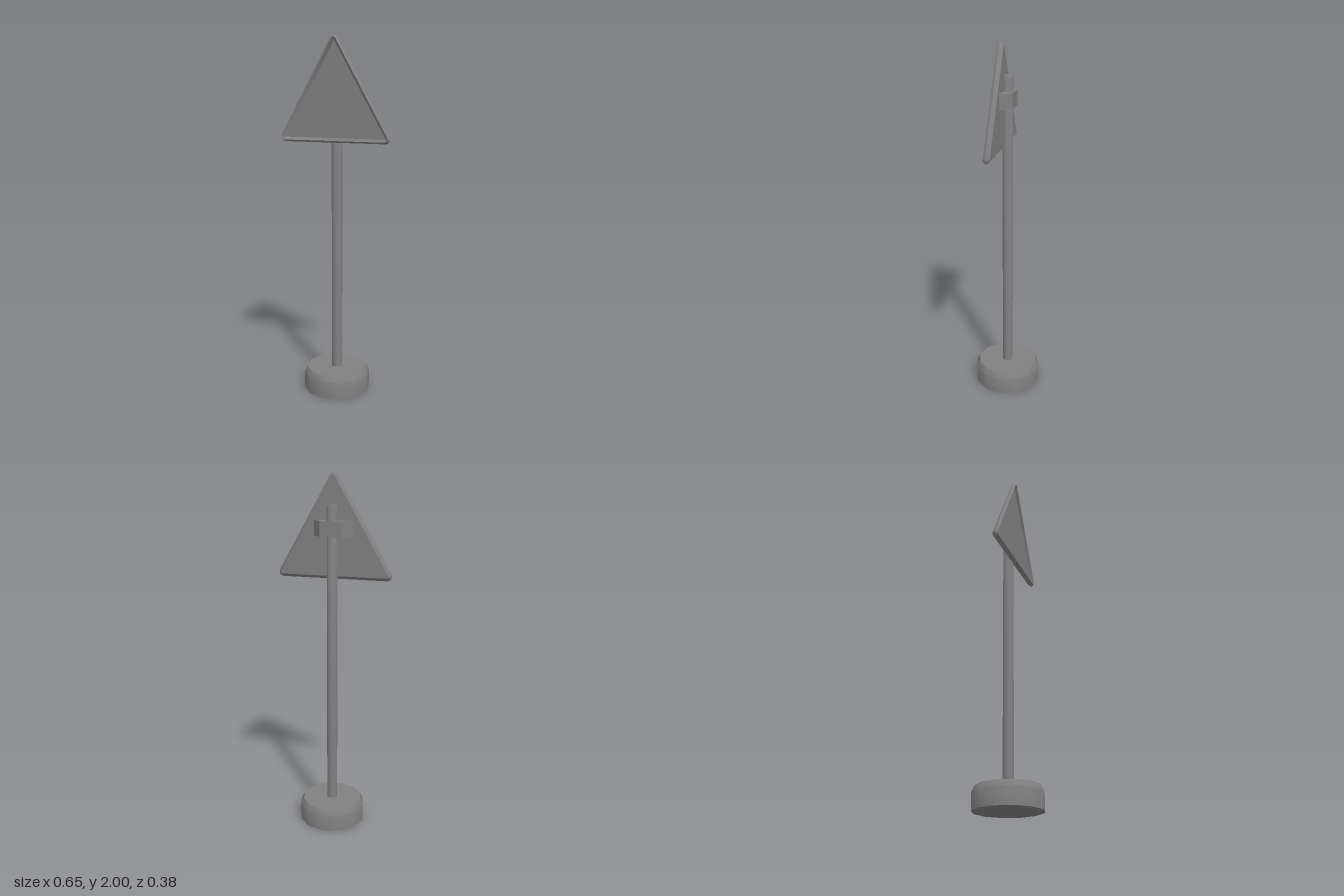
import * as THREE from 'three';
import { toCreasedNormals } from 'three/addons/utils/BufferGeometryUtils.js';

const CREASE = 0.6;

// Round-cornered triangle outline: arcs of the given radius about three fixed centres
function triangleRing(radius, z) {
  const centres = [[0.299, 1.456, -90], [0, 1.974, 30], [-0.299, 1.456, 150]];
  const steps = 4, ring = [];
  for (const [x, y, start] of centres) {
    for (let i = 0; i <= steps; i++) {
      const a = THREE.MathUtils.degToRad(start + (120 * i) / steps);
      ring.push([x + radius * Math.cos(a), y + radius * Math.sin(a), z]);
    }
  }
  return ring;
}

// Sign plate: stacked outlines from the back face, round the rim, into the recessed front
function plateGeometry() {
  const rings = [[0.009, 0.02], [0.026, 0.04], [0.016, 0.055], [0.001, 0.042]]
    .map(([r, z]) => triangleRing(r, z));
  const n = rings[0].length, last = rings.length - 1, pos = [];
  const tri = (a, b, c) => pos.push(...a, ...b, ...c);
  for (let i = 0; i < n; i++) {
    const j = (i + 1) % n;
    for (let k = 0; k < last; k++) {
      const lo = rings[k], hi = rings[k + 1];
      tri(lo[i], lo[j], hi[j]);
      tri(lo[i], hi[j], hi[i]);
    }
    tri([0, 1.63, rings[0][0][2]], rings[0][j], rings[0][i]);
    tri([0, 1.63, rings[last][0][2]], rings[last][i], rings[last][j]);
  }
  const geo = new THREE.BufferGeometry();
  geo.setAttribute('position', new THREE.Float32BufferAttribute(pos, 3));
  return toCreasedNormals(geo, CREASE);
}

// Turned solid from [radius, y] points
function turned(points) {
  const geo = new THREE.LatheGeometry(points.map(([r, y]) => new THREE.Vector2(r, y)), 12);
  return toCreasedNormals(geo, CREASE);
}

export function createModel() {
  const group = new THREE.Group();
  const grey = new THREE.MeshStandardMaterial({ color: 0x808080 });
  grey.name = 'grey';
  const add = (name, geo) => {
    const mesh = new THREE.Mesh(geo, grey);
    mesh.name = name;
    group.add(mesh);
    return mesh;
  };

  // Foot with a chamfered top edge
  add('base', turned([[0, 0], [0.189, 0], [0.189, 0.095], [0.172, 0.128], [0, 0.128]]));

  // Post with a small chamfer at the tip
  add('pole', turned([[0, 0.12], [0.03, 0.12], [0.03, 1.822], [0.027, 1.83], [0, 1.83]]));

  // Clamp behind the plate: trapezoid in plan, extruded upwards
  const plan = new THREE.Shape([[-0.112, -0.022], [0.112, -0.022], [0.06, 0.038], [-0.06, 0.038]]
    .map(([x, y]) => new THREE.Vector2(x, y)));
  const clamp = new THREE.ExtrudeGeometry(plan, { depth: 0.084, bevelEnabled: false });
  clamp.rotateX(-Math.PI / 2);
  clamp.translate(0, 1.663, 0);
  add('clamp', clamp);

  // Triangular sign
  add('signPlate', plateGeometry());

  return group;
}
